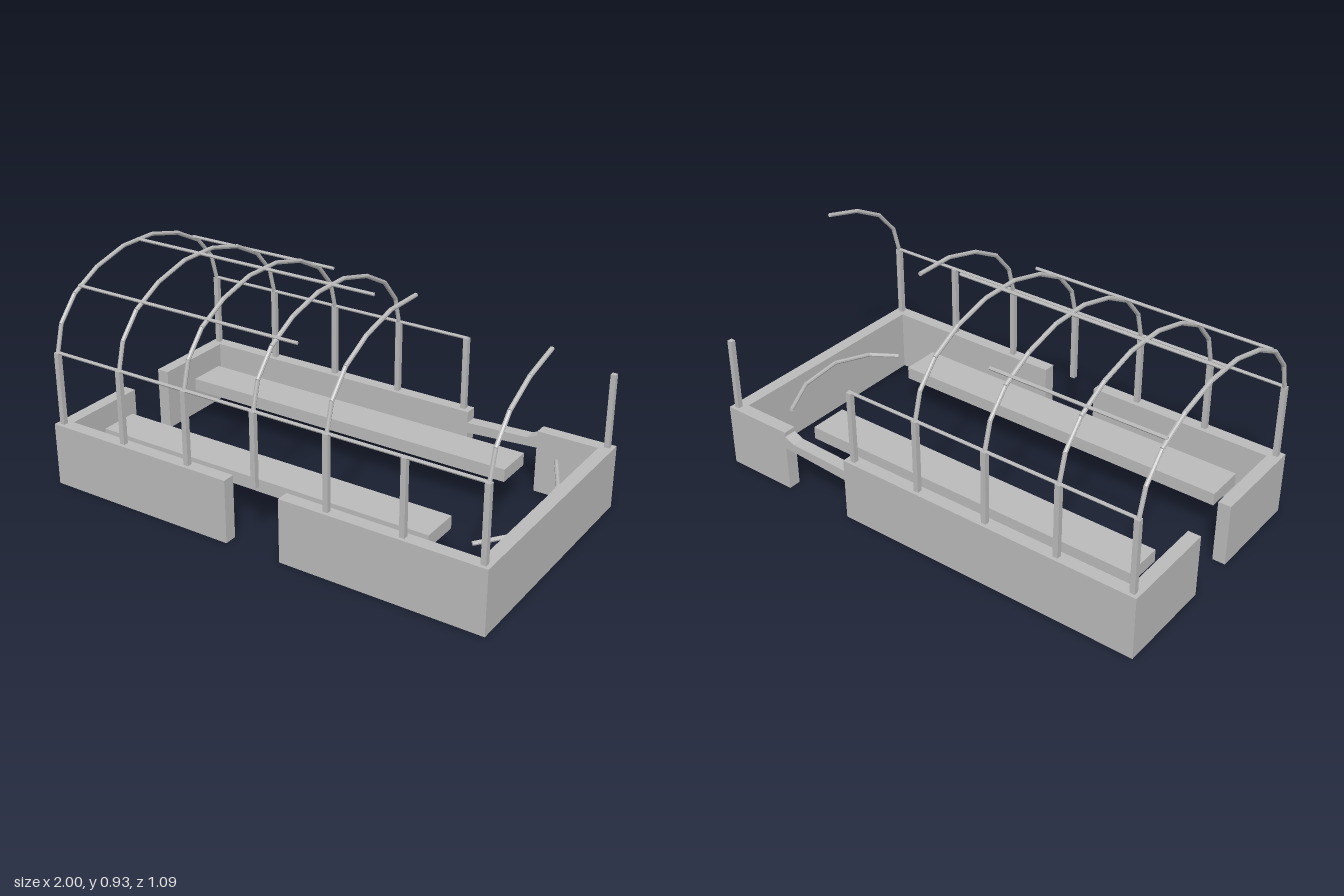
import * as THREE from 'three';

export function createModel() {
  const group = new THREE.Group();
  const grey = new THREE.MeshStandardMaterial({ color: 0xbababa });
  grey.name = 'pale grey';
  grey.flatShading = true;

  const add = (name, geometry, parent = group) => {
    const mesh = new THREE.Mesh(geometry, grey);
    mesh.name = name;
    parent.add(mesh);
    return mesh;
  };

  // box given by its min and max on each axis
  const block = (name, x0, x1, y0, y1, z0, z1) =>
    add(name, new THREE.BoxGeometry(x1 - x0, y1 - y0, z1 - z0))
      .position.set((x0 + x1) / 2, (y0 + y1) / 2, (z0 + z1) / 2);

  // straight bar between two points
  const bar = (name, a, b, radius, sides, parent) => {
    const dir = b.clone().sub(a);
    const mesh = add(name, new THREE.CylinderGeometry(radius, radius, dir.length(), sides), parent);
    mesh.position.copy(a).add(b).multiplyScalar(0.5);
    mesh.quaternion.setFromUnitVectors(new THREE.Vector3(0, 1, 0), dir.normalize());
  };

  // chain of straight bars
  const chain = (name, points) => {
    const part = new THREE.Group();
    part.name = name;
    group.add(part);
    for (let i = 1; i < points.length; i++) bar(name + 'Segment', points[i - 1], points[i], 0.009, 8, part);
  };

  // low walls with doorways in the front and the right end
  const H = 0.275, X = 1, Z = 0.545, T = 0.055;
  block('frontWall', -X, -0.125, 0, H, Z - T, Z);
  block('frontWall', 0.125, X, 0, H, Z - T, Z);
  block('backWall', -X, 0.36, 0, H, -Z, -Z + T);
  block('backWall', 0.68, X, 0, H, -Z, -Z + T);
  block('leftWall', X - T, X, 0, H, -Z + T, Z - T);
  for (const s of [-1, 1]) {
    const [z0, z1] = s > 0 ? [0.11, Z - T] : [-Z + T, -0.11];
    block('rightWall', -X, -X + T, 0, H, z0, z1);
  }

  // broken remnant bridging the gap in the back wall
  const remnant = new THREE.Shape([
    [0.36, 0.18], [0.68, 0.2], [0.68, 0.255], [0.635, 0.235], [0.36, 0.225],
  ].map(([x, y]) => new THREE.Vector2(x, y)));
  add('brokenWallRemnant', new THREE.ExtrudeGeometry(remnant, { depth: T, bevelEnabled: false }))
    .position.z = -Z;

  // two long benches
  for (const z of [-0.3, 0.297]) block('bench', -0.875, 0.675, 0.165, 0.22, z - 0.085, z + 0.085);

  // posts; one is missing at the back
  const EAVE = 0.592, ribX = (i) => (i - 3) * 0.324, P = 0.011;
  for (let i = 0; i < 7; i++) {
    for (const z of [0.519, -0.519]) {
      if (i === 5 && z < 0) continue;
      block('post', ribX(i) - P, ribX(i) + P, H, EAVE, z - P, z + P);
    }
  }

  // roof ribs, front to back; the broken ones stop early
  const half = [[0.517, 0.59], [0.485, 0.705], [0.396, 0.806], [0.257, 0.878], [0.09, 0.92]];
  const profile = [...half, ...half.map(([z, y]) => [-z, y]).reverse()];
  const ribPoints = { 0: 10, 1: 10, 2: 10, 3: 10, 4: 6, 6: 5 };
  for (const [i, count] of Object.entries(ribPoints)) {
    chain('roofRib', profile.slice(0, count).map(([z, y]) => new THREE.Vector3(ribX(i), y, z)));
  }

  // fallen piece of rib
  chain('fallenRib', [
    [0.825, 0.235, -0.365], [0.92, 0.235, -0.18], [0.942, 0.235, 0.03], [0.905, 0.205, 0.21], [0.81, 0.19, 0.3],
  ].map((p) => new THREE.Vector3(...p)));

  // lengthwise rails: end x, y, z
  const rails = [
    ['frontEaveRail', 0.975, 0.592, 0.519],
    ['backEaveRail', 0.33, 0.592, -0.519],
    ['ridgeRail', 0.195, 0.923, 0],
    ['frontPurlin', 0.095, 0.83, 0.365],
    ['backPurlin', -0.23, 0.83, -0.365],
  ];
  for (const [name, x, y, z] of rails) {
    bar(name, new THREE.Vector3(-0.975, y, z), new THREE.Vector3(x, y, z), 0.007, 6);
  }

  return group;
}
